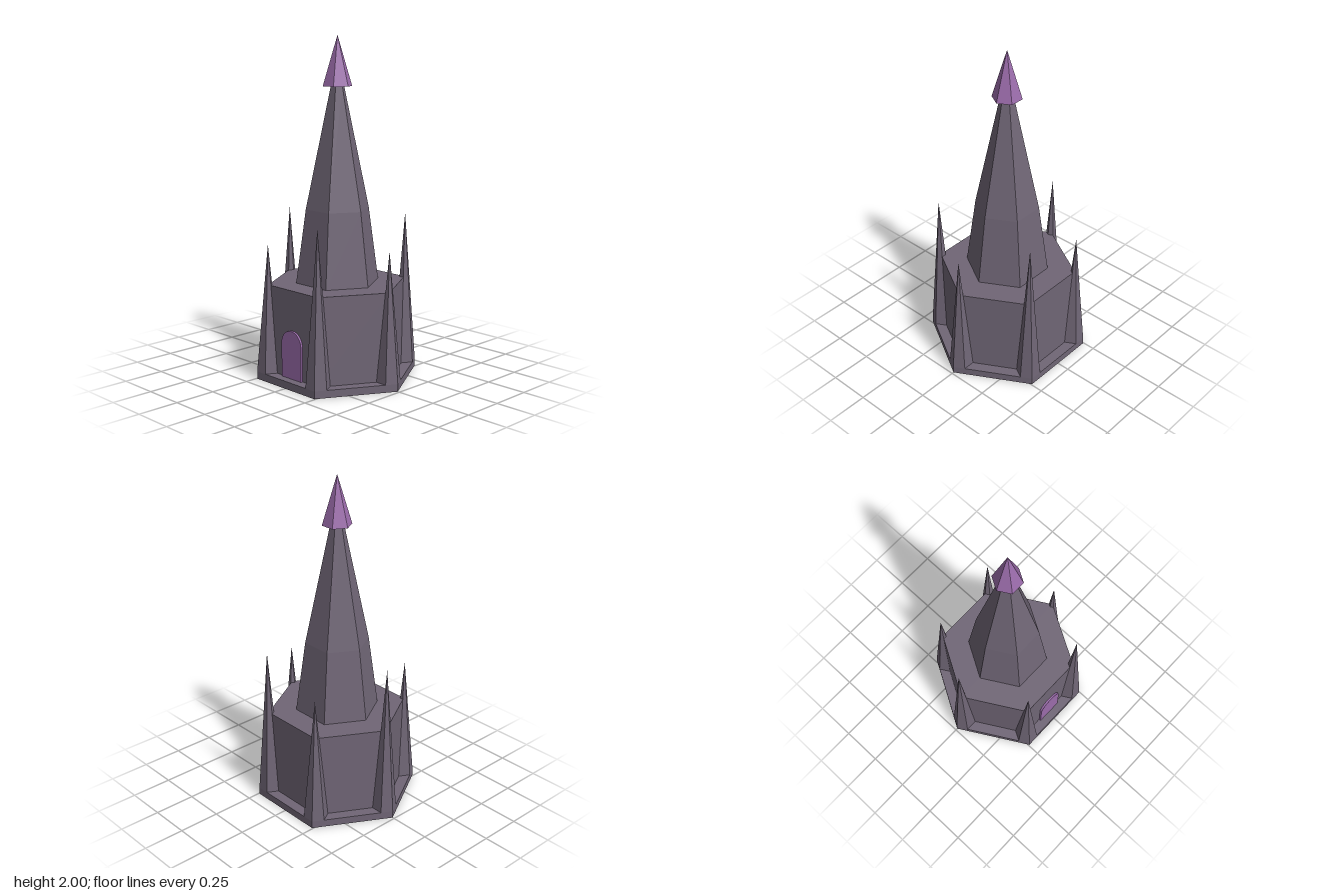
import * as THREE from 'three';

export function createModel() {
  const model = new THREE.Group();
  model.name = 'tower';

  const stone = new THREE.MeshStandardMaterial({ color: 0x706676 });
  stone.name = 'grey stone';
  const purple = new THREE.MeshStandardMaterial({ color: 0x9b6cab });
  purple.name = 'purple';
  stone.flatShading = purple.flatShading = true;

  // Six-sided frustum standing from y0 to y1, with corners on the x axis
  function hexPart(name, rBottom, rTop, y0, y1, material, x = 0, z = 0, openEnded = false) {
    const geometry = new THREE.CylinderGeometry(rTop, rBottom, y1 - y0, 6, 1, openEnded, Math.PI / 6);
    const mesh = new THREE.Mesh(geometry, material);
    mesh.name = name;
    mesh.position.set(x, (y0 + y1) / 2, z);
    model.add(mesh);
    return mesh;
  }

  const plinthTop = 0.045, wallTop = 0.565, wallRadius = 0.416;

  // Plinth and hall
  hexPart('plinth', 0.488, 0.488, 0, plinthTop, stone);
  hexPart('hall', wallRadius, wallRadius, plinthTop, wallTop, stone);

  // Spire in two slopes, with its cap
  hexPart('lowerSpire', 0.25, 0.19, wallTop, 1.0, stone, 0, 0, true);
  hexPart('upperSpire', 0.19, 0.04, 1.0, 1.71, stone, 0, 0, true);
  hexPart('spireCap', 0.087, 0, 1.71, 2, purple);

  // Corner pinnacles, alternately short and tall
  for (let i = 0; i < 6; i++) {
    const angle = i * Math.PI / 3;
    const tip = i % 2 ? 0.955 : 0.805;
    hexPart('pinnacle' + (i + 1), 0.072, 0, plinthTop, tip, stone,
      wallRadius * Math.cos(angle), wallRadius * Math.sin(angle));
  }

  // Arched door on the front wall
  const halfWidth = 0.082, springing = 0.248;
  const arch = new THREE.Shape();
  arch.moveTo(-halfWidth, plinthTop);
  arch.lineTo(halfWidth, plinthTop);
  arch.lineTo(halfWidth, springing);
  arch.absarc(0, springing, halfWidth, 0, Math.PI, false);
  arch.closePath();
  const door = new THREE.Mesh(
    new THREE.ExtrudeGeometry(arch, { depth: 0.014, bevelEnabled: false, curveSegments: 8 }), purple);
  door.name = 'door';
  door.position.z = 0.359;
  model.add(door);

  return model;
}
